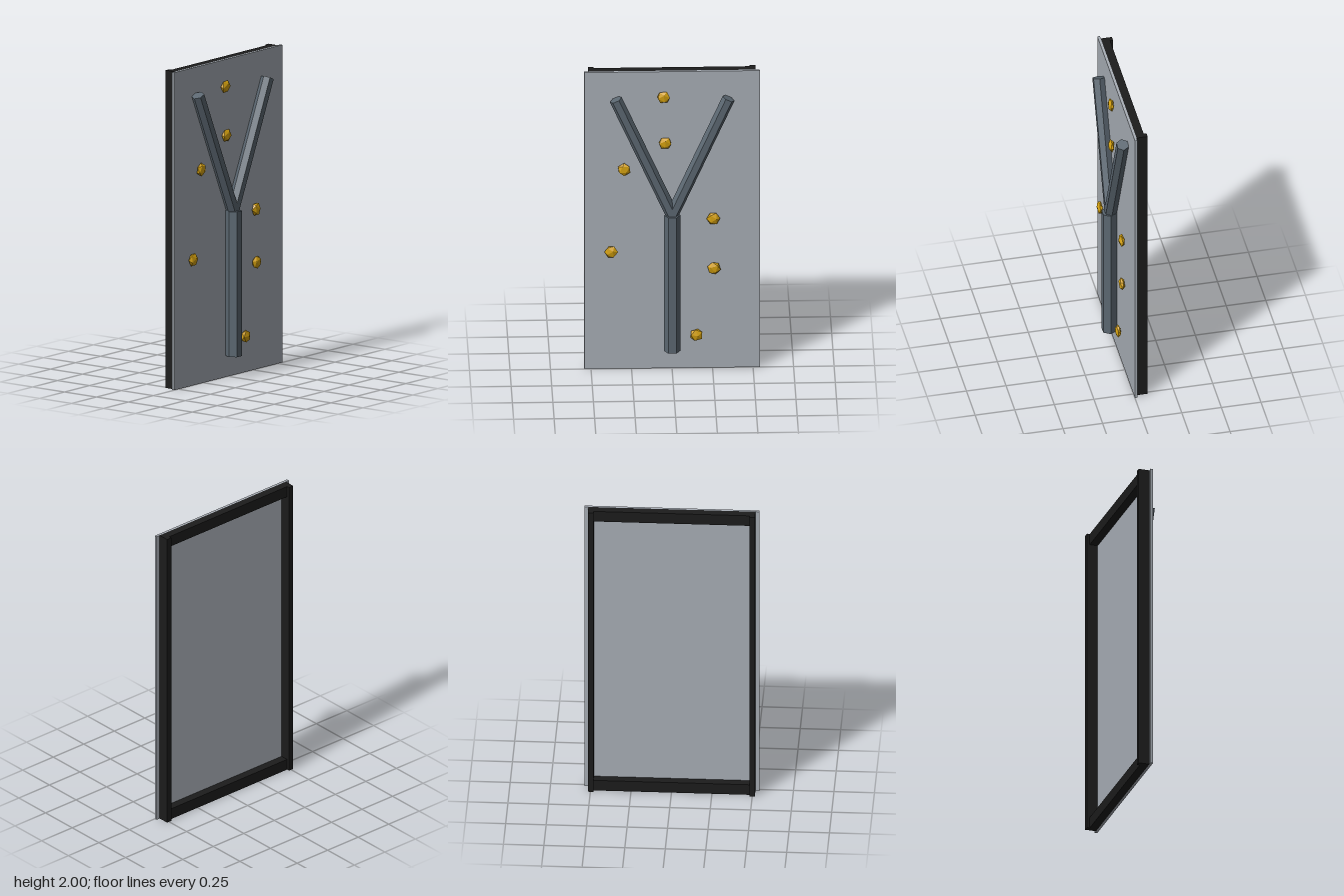
import * as THREE from 'three';

const mat = (name, color) => {
  const m = new THREE.MeshStandardMaterial({ color });
  m.name = name;
  return m;
};

export function createModel() {
  const panelGrey = mat('panelGrey', 0xaab0b8);
  const slate = mat('slate', 0x5c6872);
  const black = mat('black', 0x1c1c1c);
  const gold = mat('gold', 0xd6a20f);
  const model = new THREE.Group();
  model.name = 'treePanel';

  const add = (name, geometry, material, x, y, z) => {
    const mesh = new THREE.Mesh(geometry, material);
    mesh.name = name;
    mesh.position.set(x, y, z);
    model.add(mesh);
    return mesh;
  };

  // Thin upright board
  add('panel', new THREE.BoxGeometry(1.083, 2, 0.016), panelGrey, 0, 1, -0.008);

  // Back frame: two deep posts joined by two shallower rails
  for (const s of [-1, 1]) {
    add('framePost', new THREE.BoxGeometry(0.034, 2, 0.07), black, s * 0.499, 1, -0.051);
    add('frameRail', new THREE.BoxGeometry(0.966, 0.072, 0.052), black, 0, 1 + s * 0.964, -0.042);
  }

  // Hexagonal bar with a flat side to the front and corners to the sides
  const hexBar = (radius, length) =>
    new THREE.CylinderGeometry(radius, radius, length, 6).rotateY(Math.PI / 6).toNonIndexed();
  const flatBar = (radius, length) => {
    const g = hexBar(radius, length);
    g.computeVertexNormals();
    return g;
  };

  // Trunk and the two branches of the fork
  const forkY = 1.05;
  add('trunk', flatBar(0.05, 0.915), slate, 0, forkY - 0.4575, 0.0433);
  const reachX = 0.348, reachY = 0.78;
  for (const s of [-1, 1]) {
    const branch = add('branch', flatBar(0.04, Math.hypot(reachX, reachY)), slate,
      s * reachX / 2, forkY + reachY / 2, 0.0353);
    branch.rotation.z = -s * Math.atan2(reachX, reachY);
  }

  // Flattened faceted nuggets: x, y, turn
  const nuggets = [
    [-0.053, 1.836, 0.1], [-0.043, 1.527, 0.9], [-0.296, 1.352, 1.7], [0.254, 1.014, 0.5],
    [-0.376, 0.797, 0.3], [0.259, 0.68, 1.3], [0.15, 0.231, 2.1],
  ];
  nuggets.forEach(([x, y, turn]) => {
    const g = new THREE.IcosahedronGeometry(0.043, 0)
      .rotateX(turn * 1.3).rotateY(turn).rotateZ(turn * 0.7).scale(1, 1, 0.45);
    g.computeVertexNormals();
    add('nugget', g, gold, x, y, 0.021);
  });

  return model;
}
